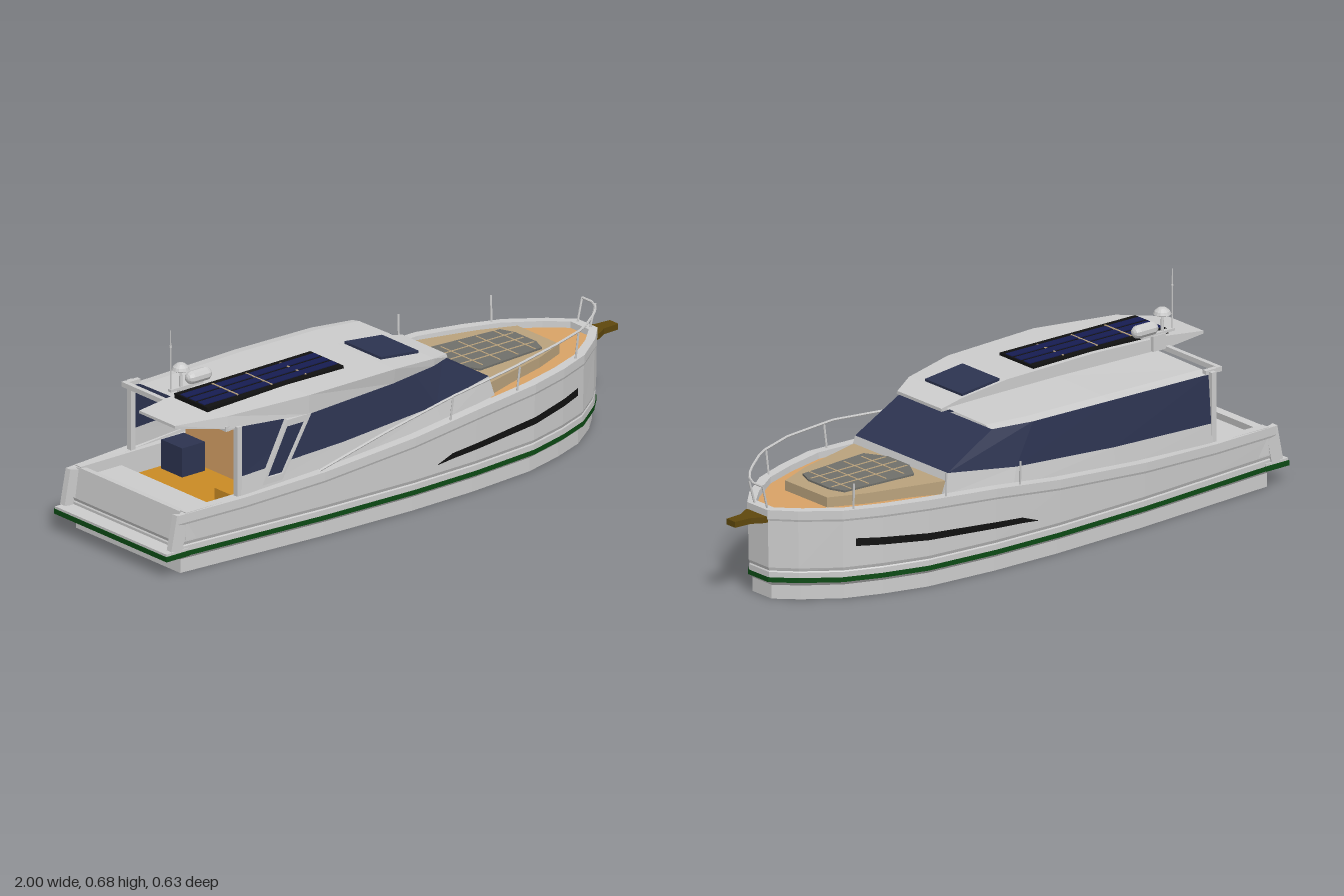
import * as THREE from 'three';

const mat = (color, extra = {}) =>
  new THREE.MeshStandardMaterial({ color, flatShading: true, side: THREE.DoubleSide, ...extra });
const grey = mat(0xcccccc), glass = mat(0x2c3350), wood = mat(0xd8a266), teak = mat(0xc98a24),
  green = mat(0x0c4a14), black = mat(0x111111), tan = mat(0xb9a27c), slate = mat(0x6f6f6a),
  blue = mat(0x161c52), bronze = mat(0x5e470c);

// Piecewise linear lookup in a table of [x, value]
function lookup(table, x) {
  if (x <= table[0][0]) return table[0][1];
  for (let i = 1; i < table.length; i++) {
    const [x0, a] = table[i - 1], [x1, b] = table[i];
    if (x <= x1) return a + (b - a) * (x - x0) / (x1 - x0);
  }
  return table[table.length - 1][1];
}

// Half beam and sheer height along the boat
const BEAM = [[-0.95, 0.267], [-0.7, 0.285], [-0.4, 0.306], [-0.05, 0.317], [0.2, 0.311], [0.45, 0.288],
  [0.6, 0.245], [0.72, 0.197], [0.83, 0.115], [0.895, 0.048]];
const SHEER = [[-0.95, 0.197], [-0.6, 0.203], [-0.2, 0.23], [0.2, 0.273], [0.45, 0.288], [0.9, 0.293]];
const beam = x => lookup(BEAM, x), sheer = x => lookup(SHEER, x);

// Surface from rows of points
function grid(rows) {
  const pos = [], idx = [], n = rows[0].length;
  rows.forEach(r => r.forEach(p => pos.push(...p)));
  for (let i = 0; i < rows.length - 1; i++) for (let j = 0; j < n - 1; j++) {
    const a = i * n + j, b = a + n;
    idx.push(a, a + 1, b + 1, a, b + 1, b);
  }
  const g = new THREE.BufferGeometry();
  g.setAttribute('position', new THREE.Float32BufferAttribute(pos, 3));
  g.setIndex(idx);
  const flat = g.toNonIndexed();
  flat.computeVertexNormals();
  return flat;
}

// Continue a half outline round the bow to the other side
const mirrored = half => [...half, ...half.slice().reverse().map(([x, y, z]) => [x, y, -z])];

export function createModel() {
  const boat = new THREE.Group();
  const add = (name, geo, m = grey, p = [0, 0, 0], r = [0, 0, 0]) => {
    const mesh = new THREE.Mesh(geo, m);
    mesh.name = name;
    mesh.position.set(...p);
    mesh.rotation.set(...r);
    boat.add(mesh);
    return mesh;
  };
  const box = (name, size, p, m, r) => add(name, new THREE.BoxGeometry(...size), m, p, r);
  const tube = (name, pts, radius = 0.004, m = grey) => {
    const path = new THREE.CurvePath(), v = pts.map(p => new THREE.Vector3(...p));
    for (let i = 1; i < v.length; i++) path.add(new THREE.LineCurve3(v[i - 1], v[i]));
    return add(name, new THREE.TubeGeometry(path, (v.length - 1) * 4, radius, 6), m);
  };
  // Flat slab, outline given for the +z half as [x, z]
  const slab = (name, half, y0, y1, m) => {
    const pts = [...half, ...half.slice().reverse().map(([x, z]) => [x, -z])];
    const g = new THREE.ExtrudeGeometry(new THREE.Shape(pts.map(p => new THREE.Vector2(...p))),
      { depth: y1 - y0, bevelEnabled: false });
    return add(name, g.rotateX(-Math.PI / 2), m, [0, y0, 0]);
  };

  // Hull: levels of height and inset, over the gunwale and down inside it
  const level = (y, inset) => mirrored(BEAM.map(([x, z]) =>
    [x * (1 - inset), typeof y === 'function' ? y(x) : y, z * (1 - 3 * inset)]));
  const hull = [level(0, 0.022), level(0.045, 0.022), level(0.058, 0.008), level(0.09, 0.008),
    level(0.094, 0.011), level(0.105, 0.006), level(x => sheer(x) - 0.035, 0.003),
    level(x => sheer(x) - 0.028, 0), level(sheer, 0), level(sheer, 0.035), level(x => sheer(x) - 0.03, 0.037)];
  add('hull', grid(hull));
  add('sternPlate', grid(hull.slice(0, 6).map(r => [r[r.length - 1], r[0]])));
  const half = BEAM.length;
  add('hullBottom', grid(hull[0].slice(0, half).map(([x, y, z]) => [[x, y, z], [x, y, -z]])));
  add('waterlineStripe', grid([level(0.058, 0.004), level(0.074, 0.004)]), green);

  // Swim platform and transom
  box('platformEdge', [0.09, 0.016, 0.54], [-0.955, 0.066, 0], green);
  box('swimPlatform', [0.09, 0.008, 0.532], [-0.953, 0.078, 0]);
  box('transom', [0.025, 0.115, 0.5], [-0.918, 0.138, 0], grey, [0, 0, -0.15]);
  for (const s of [1, -1]) {
    box('sternFin', [0.045, 0.115, 0.022], [-0.945, 0.137, s * 0.255], grey, [0, 0, -0.2]);
    box('cockpitCoaming', [0.44, 0.09, 0.03], [-0.7, 0.155, s * 0.252]);
    // Long dark hull window
    const win = [[0.04, 0.133, 0.135], [0.1, 0.139, 0.157], [0.2, 0.145, 0.165], [0.45, 0.158, 0.181],
      [0.6, 0.167, 0.191], [0.68, 0.172, 0.197]];
    const row = k => win.map(w => [w[0], w[k], s * (beam(w[0] / 0.996) * 0.987 + 0.004)]);
    add('hullWindow', grid(s > 0 ? [row(1), row(2)] : [row(2), row(1)]), black);
  }

  // Decks
  const deck = xs => grid(xs.map(x => {
    const z = beam(x / 0.965) * 0.893, y = sheer(x) - 0.02;
    return [[x, y, -z], [x, y, z]];
  }));
  add('sideDeck', deck([-0.5, -0.2, 0, 0.2, 0.32]));
  add('foredeck', deck([0.32, 0.434, 0.58, 0.695, 0.8, 0.864]), wood);
  slab('foredeckTrunk', [[0.3, 0.225], [0.58, 0.15], [0.7, 0.1]], 0.25, 0.303, tan);
  slab('sunPad', [[0.33, 0.05], [0.37, 0.12], [0.63, 0.1], [0.65, 0.05]], 0.3, 0.309, slate);
  for (let i = 0; i < 4; i++) box('padSeam', [0.005, 0.003, 0.2], [0.395 + i * 0.07, 0.309, 0], tan);
  for (const z of [-0.05, 0, 0.05]) box('padSeam', [0.3, 0.003, 0.005], [0.49, 0.309, z], tan);

  // Cockpit
  box('cockpitFloor', [0.44, 0.01, 0.48], [-0.7, 0.12, 0], teak);
  box('aftBench', [0.14, 0.05, 0.46], [-0.835, 0.145, 0]);
  box('sideBench', [0.13, 0.06, 0.1], [-0.62, 0.15, 0.17], teak);
  box('galleyUnit', [0.09, 0.1, 0.1], [-0.57, 0.17, -0.17], glass);
  box('bulkhead', [0.012, 0.29, 0.47], [-0.5, 0.27, 0], wood);

  // Cabin: base, glazing and top
  const base = mirrored([[-0.7, 0.19, 0.266], [-0.3, 0.2, 0.277], [0.1, 0.235, 0.268], [0.34, 0.26, 0.225]]);
  const sill = mirrored([[-0.7, 0.262, 0.261], [-0.3, 0.28, 0.27], [0.08, 0.303, 0.26], [0.32, 0.327, 0.22]]);
  const head = mirrored([[-0.7, 0.418, 0.248], [-0.3, 0.426, 0.252], [0, 0.427, 0.244], [0.14, 0.426, 0.215]]);
  add('cabinBase', grid([base, sill]));
  add('cabinGlass', grid([sill, head]), glass);
  add('windshieldLedge', grid([[[0.2, 0.327, -0.22], [0.2, 0.327, 0.22]], [sill[4], sill[3]]]));
  add('cabinTop', grid(head.slice(0, 4).map(([x, y, z]) =>
    [[x, y, -z], [x, y + 0.006, -z * 0.85], [x, y + 0.009, 0], [x, y + 0.006, z * 0.85], [x, y, z]])));
  box('aftBeam', [0.016, 0.016, 0.5], [-0.74, 0.425, 0]);
  for (const s of [1, -1]) {
    box('aftPost', [0.018, 0.23, 0.018], [-0.705, 0.312, s * 0.255]);
    box('beamArm', [0.06, 0.014, 0.016], [-0.715, 0.425, s * 0.242]);
  }

  // Raised roof shell: x, top, top edge, underside, lower edge
  const roof = [[-0.885, 0.447, 0.17, 0.438, 0.17], [-0.74, 0.465, 0.245, 0.425, 0.25],
    [-0.45, 0.476, 0.29, 0.413, 0.287], [-0.1, 0.472, 0.28, 0.422, 0.27],
    [0.08, 0.453, 0.25, 0.428, 0.247], [0.16, 0.437, 0.21, 0.427, 0.215]].map(([x, t, zt, b, zb]) =>
    [[x, t, 0], [x, t, zt], [x, b, zb], [x, b, 0], [x, t, 0]]);
  add('roofShell', grid(roof));
  for (const r of [roof[0], roof[roof.length - 1]]) add('roofEnd', grid([[r[0], r[1]], [r[3], r[2]]]));

  // Slanted side wing with a glazed opening
  const quad = (C, k) => new C([[-0.635, 0.225], [-0.555, 0.225], [-0.44, 0.415], [-0.535, 0.415]]
    .map(([x, y]) => new THREE.Vector2(-0.541 + (x + 0.541) * k, 0.32 + (y - 0.32) * k)));
  const wing = quad(THREE.Shape, 1);
  wing.holes.push(quad(THREE.Path, 0.78));
  add('sideWing', new THREE.ExtrudeGeometry(wing, { depth: 0.016, bevelEnabled: false }), grey, [0, 0, 0.272]);
  add('wingGlass', new THREE.ShapeGeometry(quad(THREE.Shape, 0.8)), glass, [0, 0, 0.28]);

  // Solar panel and roof hatch
  box('solarFrame', [0.54, 0.016, 0.16], [-0.49, 0.472, 0.097], black, [0, 0, 0.008]);
  for (const z of [0.055, 0.097, 0.139])
    box('solarCells', [0.53, 0.003, 0.03], [-0.49, 0.481, z], blue, [0, 0, 0.008]);
  for (let i = 0; i < 3; i++) box('solarSeam', [0.005, 0.003, 0.125], [-0.625 + i * 0.135, 0.482, 0.097], tan);
  box('roofHatch', [0.15, 0.012, 0.175], [-0.005, 0.464, 0.098], glass, [0, 0, -0.105]);

  // Mast, radar dome, pod and aerial
  box('mastFoot', [0.05, 0.05, 0.014], [-0.7, 0.455, -0.004]);
  box('mastArm', [0.13, 0.008, 0.014], [-0.7, 0.482, 0]);
  add('domeStalk', new THREE.CylinderGeometry(0.004, 0.006, 0.06, 8), grey, [-0.72, 0.51, 0]);
  const dome = [[0, 0.535], [0.016, 0.535], [0.028, 0.541], [0.024, 0.551], [0.013, 0.56], [0, 0.563]];
  add('radarDome', new THREE.LatheGeometry(dome.map(p => new THREE.Vector2(...p)), 14), grey, [-0.72, 0, 0]);
  add('lightPod', new THREE.CapsuleGeometry(0.021, 0.055, 4, 10), grey, [-0.65, 0.504, 0], [0, 0, Math.PI / 2]);
  add('aerial', new THREE.CylinderGeometry(0.0015, 0.0025, 0.195, 6), grey, [-0.76, 0.58, 0]);
  add('aerialJoint', new THREE.CylinderGeometry(0.004, 0.004, 0.006, 6), grey, [-0.76, 0.625, 0]);

  // Guard rail on one side, bow gate, and leaning posts on both
  tube('guardRail', [[-0.42, 0.225, 0.302], [-0.18, 0.285, 0.308], [0.1, 0.338, 0.305], [0.35, 0.365, 0.29],
    [0.57, 0.376, 0.243], [0.72, 0.375, 0.19], [0.84, 0.37, 0.1], [0.9, 0.366, 0.032], [0.9, 0.366, -0.032]]);
  for (const s of [1, -1]) {
    tube('bowPost', [[0.88, 0.29, s * 0.03], [0.9, 0.366, s * 0.032]], 0.0035);
    for (const [x, h] of [[0.68, 0.083], [0.38, 0.078], [0.1, 0.077]])
      tube('railPost', [[x, sheer(x) - 0.005, s * (beam(x) - 0.012)],
        [x + 0.005, sheer(x) + h, s * (beam(x) - 0.004)]], 0.0035);
  }

  // Tapered bowsprit
  slab('bowsprit', [[0.87, 0.052], [0.905, 0.045], [0.94, 0.024], [1, 0.02]], 0.252, 0.271, bronze);
  return boat;
}
